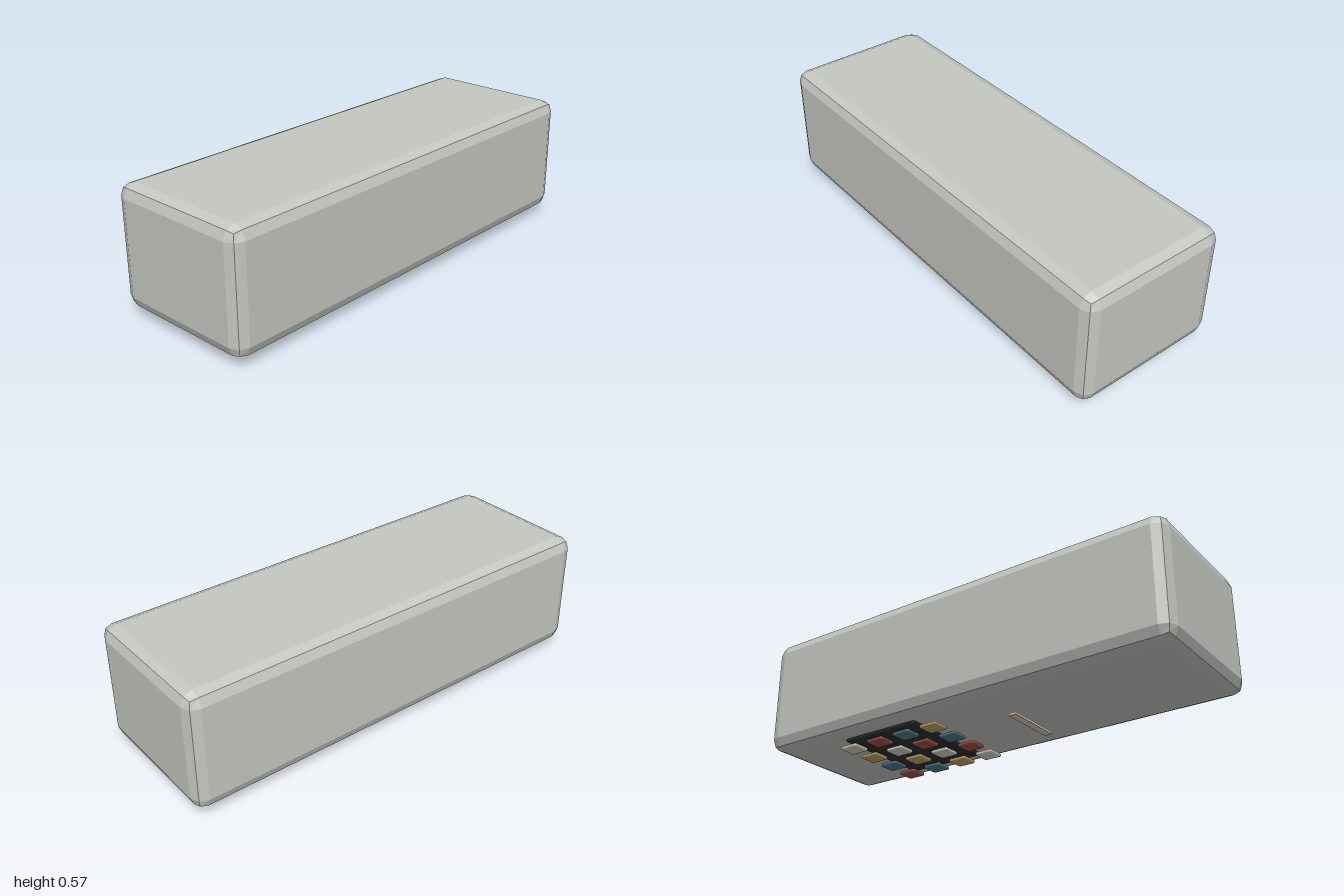
import * as THREE from 'three';
import { RoundedBoxGeometry } from 'three/addons/geometries/RoundedBoxGeometry.js';

// Rounded block given by its size, centre, corner radius and bevel segments
function block(name, size, center, radius, segments, material) {
  const mesh = new THREE.Mesh(new RoundedBoxGeometry(...size, segments, radius), material);
  mesh.name = name;
  mesh.position.set(...center);
  return mesh;
}

const paint = (color) => new THREE.MeshStandardMaterial({ color });

export function createModel() {
  const model = new THREE.Group();
  model.name = 'console';

  // Long housing with faceted, bevelled edges
  const bodyMaterial = paint(0xc4c6c0);
  bodyMaterial.flatShading = true;
  model.add(block('body', [0.67, 0.526, 2], [0, 0.305, 0], 0.054, 1, bodyMaterial));

  // Dark plate below the housing
  model.add(block('keypadPlate', [0.471, 0.015, 0.38], [-0.02, 0.0305, -0.41], 0.007, 2, paint(0x2c302e)));

  // Narrow strip ahead of the keypad
  model.add(block('strip', [0.27, 0.012, 0.036], [0.035, 0.0235, 0.167], 0.002, 2, paint(0xd8ccbc)));

  // Four by four keypad, colours shifting by one in each row
  const keypad = new THREE.Group();
  keypad.name = 'keypad';
  const colors = [0xc4a468, 0x4f7a8a, 0xa0524a, 0xd8d2c2].map(paint);
  for (let row = 0; row < 4; row++) {
    for (let col = 0; col < 4; col++) {
      const center = [-0.2 + col * 0.1315, 0.0085, -0.163 - row * 0.145];
      keypad.add(block('key', [0.081, 0.016, 0.086], center, 0.007, 2, colors[(row + col) % 4]));
    }
  }
  model.add(keypad);

  return model;
}
